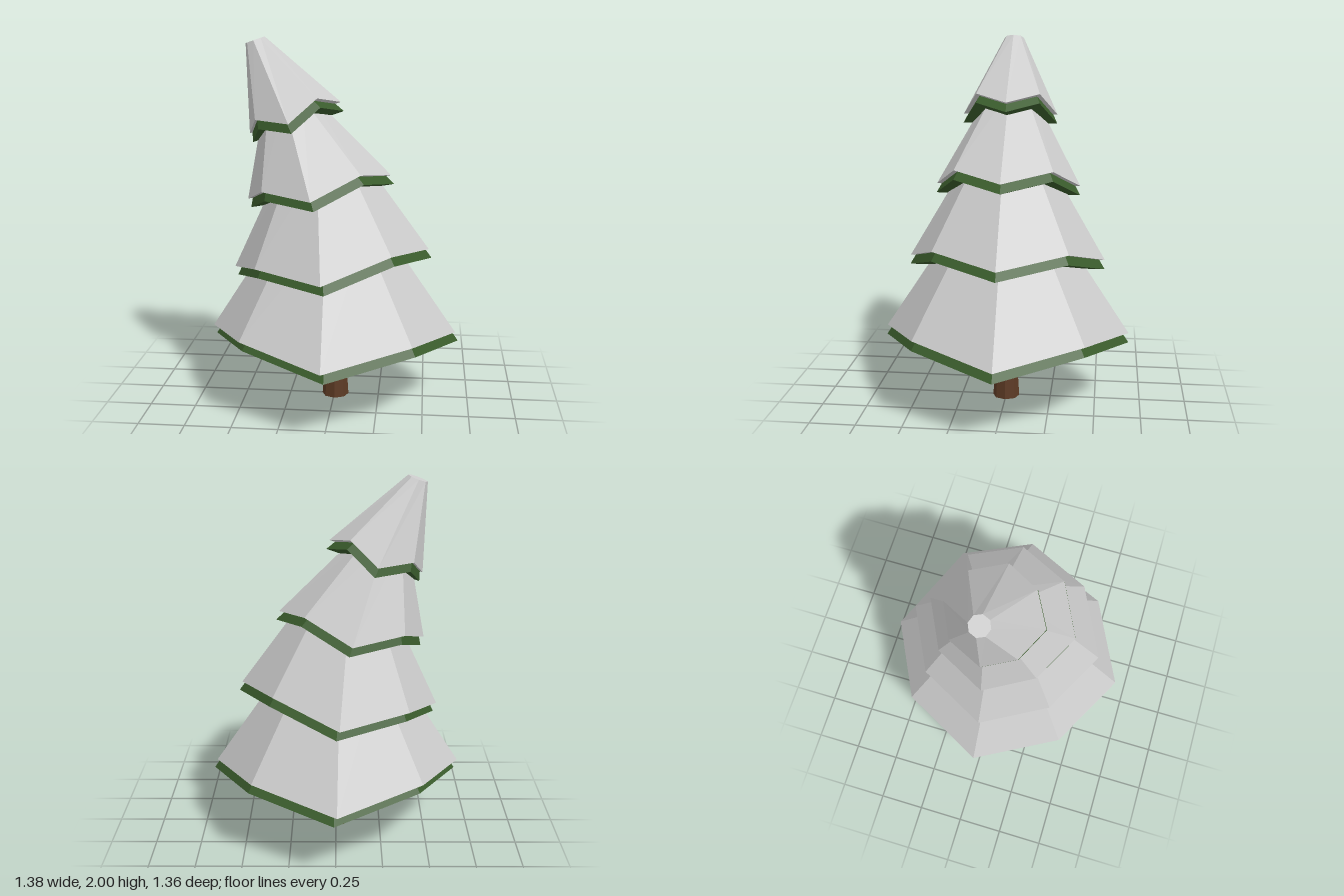
import * as THREE from 'three';

const SIDES = 8;

// Octagon tilted about z; every second corner is pulled in and lifted.
function ring(cx, cy, radius, tilt, innerScale, lift) {
  const points = [];
  for (let i = 0; i < SIDES; i++) {
    const a = (i / SIDES) * Math.PI * 2;
    const odd = i % 2 === 1;
    const r = odd ? radius * innerScale : radius;
    const p = new THREE.Vector3(Math.cos(a) * r, odd ? lift : 0, -Math.sin(a) * r);
    p.applyAxisAngle(new THREE.Vector3(0, 0, 1), tilt);
    points.push(p.add(new THREE.Vector3(cx, cy, 0)));
  }
  return points;
}

// Closed, leaning frustum with a zigzag hem.
function tierGeometry({ base, top, radius, topRadius, tilt }) {
  const points = [
    ...ring(base[0], base[1], radius, tilt, 0.935, 0.07),
    ...ring(top[0], top[1], topRadius, tilt, 1, 0),
    new THREE.Vector3(base[0], base[1], 0),
    new THREE.Vector3(top[0], top[1], 0),
  ];
  const index = [];
  for (let i = 0; i < SIDES; i++) {
    const j = (i + 1) % SIDES;
    index.push(i, j, SIDES + j, i, SIDES + j, SIDES + i); // side
    index.push(2 * SIDES, j, i); // underside
    index.push(2 * SIDES + 1, SIDES + i, SIDES + j); // top
  }
  const geometry = new THREE.BufferGeometry().setFromPoints(points);
  geometry.setIndex(index);
  const flat = geometry.toNonIndexed();
  flat.computeVertexNormals();
  return flat;
}

export function createModel() {
  const tree = new THREE.Group();
  tree.name = 'snowyTree';
  const material = (color) => new THREE.MeshStandardMaterial({ color, flatShading: true });
  const snow = material(0xcccccc);
  const foliage = material(0x3a5c2c);
  const bark = material(0x5c3a24);

  // Trunk, flared at the foot
  const trunkProfile = [[0, 0], [0.074, 0], [0.055, 0.29], [0.06, 0.36], [0, 0.36]]
    .map(([r, y]) => new THREE.Vector2(r, y));
  const trunk = new THREE.Mesh(new THREE.LatheGeometry(trunkProfile, SIDES), bark);
  trunk.name = 'trunk';
  trunk.position.x = 0.006;
  tree.add(trunk);

  // Tiers bend further to the side towards the tip
  const tiers = [
    { base: [-0.007, 0.388], top: [-0.02, 0.99], radius: 0.68, topRadius: 0.28, tilt: 0 },
    { base: [-0.02, 0.8], top: [-0.07, 1.34], radius: 0.54, topRadius: 0.22, tilt: 0.117 },
    { base: [-0.085, 1.197], top: [-0.25, 1.67], radius: 0.397, topRadius: 0.13, tilt: 0.184 },
    { base: [-0.212, 1.572], top: [-0.42, 1.981], radius: 0.261, topRadius: 0.054, tilt: 0.34 },
  ];
  tiers.forEach((tier, i) => {
    const geometry = tierGeometry(tier);
    const cap = new THREE.Mesh(geometry, snow);
    cap.name = `snowTier${i + 1}`;
    // Foliage peeks out below the snow
    const branches = new THREE.Mesh(geometry, foliage);
    branches.name = `foliageTier${i + 1}`;
    branches.position.set(0.016, -0.048, 0);
    tree.add(cap, branches);
  });

  return tree;
}
